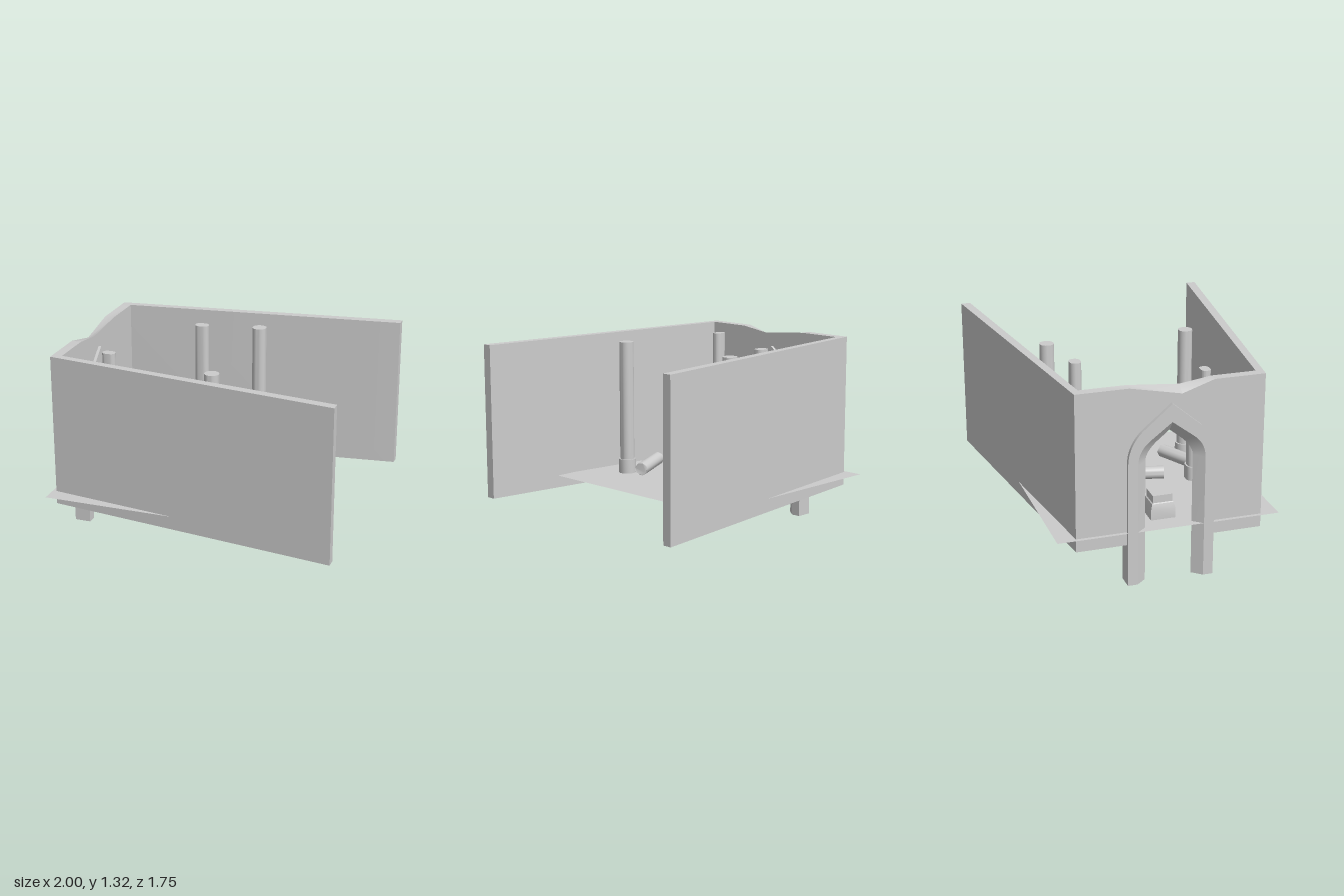
import * as THREE from 'three';
import { toCreasedNormals } from 'three/addons/utils/BufferGeometryUtils.js';

const FLOOR = 0.365;

export function createModel() {
  const model = new THREE.Group();
  model.name = 'ruinedHall';
  const stone = new THREE.MeshStandardMaterial({ color: 0xcccccc, side: THREE.DoubleSide });
  stone.name = 'stone';

  function add(name, geometry, parent = model) {
    const mesh = new THREE.Mesh(toCreasedNormals(geometry, 0.6), stone);
    mesh.name = name;
    parent.add(mesh);
    return mesh;
  }

  // Upright prism from a plan outline of [x, z] points
  function prism(points, y0, y1) {
    const shape = new THREE.Shape(points.map(([x, z]) => new THREE.Vector2(x, -z)));
    return new THREE.ExtrudeGeometry(shape, { depth: y1 - y0, bevelEnabled: false })
      .rotateX(-Math.PI / 2).translate(0, y0, 0);
  }

  // Upright shaft with a rounded oblong section; a jagged one has a broken top
  function shaft(w, d, h, jagged = false) {
    const pts = [];
    const r = Math.min(w, d) * 0.46;
    for (let i = 0; i < 28; i++) {
      const a = (i + 0.5) / 28 * Math.PI * 2;
      const c = Math.cos(a), s = Math.sin(a);
      pts.push([Math.sign(c) * (w / 2 - r) + c * r, Math.sign(s) * (d / 2 - r) + s * r]);
    }
    const g = prism(pts, 0, h);
    if (jagged) {
      const p = g.attributes.position;
      for (let i = 0; i < p.count; i++) {
        if (p.getY(i) < h / 2) continue;
        const a = Math.atan2(p.getZ(i), p.getX(i));
        p.setY(i, h - 0.008 + 0.005 * Math.sin(5 * a) + 0.004 * Math.sin(9 * a + 1));
      }
    }
    return g;
  }

  // Floor slab, a thin sheet
  add('floor', new THREE.PlaneGeometry(1.5, 1.47).rotateX(-Math.PI / 2).translate(-0.25, FLOOR, -0.005));

  // Splayed side walls
  for (const s of [1, -1]) {
    const plan = [[-0.975, 0.615], [1, 0.875], [1, 0.813], [-0.91, 0.573], [-0.975, 0.573]];
    add(s > 0 ? 'frontSideWall' : 'rearSideWall', prism(plan.map(([x, z]) => [x, z * s]), 0.275, 1.32));
  }

  // End wall with a worn top and a doorway
  const end = new THREE.Shape();
  end.moveTo(0.575, 0.275);
  end.lineTo(0.575, 1.32);
  end.lineTo(0.28, 1.32);
  end.lineTo(0.07, 1.29);
  end.lineTo(-0.27, 1.32);
  end.lineTo(-0.575, 1.32);
  end.lineTo(-0.575, 0.275);
  end.lineTo(-0.24, 0.275);
  end.lineTo(-0.24, 0.82);
  end.quadraticCurveTo(-0.24, 0.93, -0.15, 1.02);
  end.lineTo(0, 1.14);
  end.lineTo(0.15, 1.02);
  end.quadraticCurveTo(0.24, 0.93, 0.24, 0.82);
  end.lineTo(0.24, 0.275);
  const endWall = new THREE.ExtrudeGeometry(end, { depth: 0.065, bevelEnabled: false })
    .rotateY(-Math.PI / 2).translate(-0.91, 0, 0);
  const wp = endWall.attributes.position;
  for (let i = 0; i < wp.count; i++) {
    if (wp.getX(i) < -0.95 && Math.abs(wp.getY(i) - 1.29) < 0.01) wp.setY(i, 1.25);
  }
  add('endWall', endWall);

  // Pointed arch: a five-sided section swept from foot to foot
  function archLine(w, shoulderZ, shoulderY, controlY, apex) {
    const curve = new THREE.QuadraticBezierCurve(
      new THREE.Vector2(w, 0.82), new THREE.Vector2(w, controlY), new THREE.Vector2(shoulderZ, shoulderY));
    const half = [new THREE.Vector2(w, 0), ...curve.getPoints(8)];
    return [...half, new THREE.Vector2(0, apex), ...half.map(p => new THREE.Vector2(-p.x, p.y)).reverse()];
  }
  const outer = archLine(0.285, 0.19, 1.04, 0.95, 1.2);
  const middle = archLine(0.22, 0.145, 0.97, 0.91, 1.08);
  const inner = archLine(0.155, 0.08, 0.945, 0.88, 1.01);
  const verts = [], faces = [];
  outer.forEach((o, i) => {
    const m = middle[i], n = inner[i];
    verts.push(-1, o.y, o.x, -0.89, o.y, o.x, -0.89, m.y, m.x, -0.945, n.y, n.x, -1, m.y, m.x);
  });
  const last = (outer.length - 1) * 5;
  for (let b = 0; b < last; b += 5) {
    for (let k = 0; k < 5; k++) {
      const a = b + k, c = b + (k + 1) % 5;
      faces.push(a, c, c + 5, a, c + 5, a + 5);
    }
  }
  for (let k = 1; k < 4; k++) faces.push(0, k + 1, k, last, last + k, last + k + 1);
  const arch = new THREE.BufferGeometry();
  arch.setAttribute('position', new THREE.Float32BufferAttribute(verts, 3));
  arch.setIndex(faces);
  add('doorArch', arch);

  // Standing columns: x, z, base width, base depth, top height
  const columns = [
    [0.083, 0.47, 0.115, 0.115, 1.285], [-0.31, 0.385, 0.11, 0.083, 0.655], [-0.69, 0.322, 0.11, 0.083, 1.285],
    [0.083, -0.5, 0.115, 0.115, 1.285], [-0.31, -0.42, 0.115, 0.095, 1.285], [-0.69, -0.35, 0.11, 0.083, 0.655],
  ];
  for (const [x, z, w, d, top] of columns) {
    const column = new THREE.Group();
    column.name = 'column';
    column.position.set(x, FLOOR, z);
    add('columnBase', shaft(w, d, 0.098), column);
    add('columnShaft', shaft(w - 0.02, d - 0.02, top - FLOOR, top < 1), column);
    model.add(column);
  }

  // Fallen columns, from the whole end to the broken end
  for (const [x0, z0, x1, z1] of [
    [-0.54, -0.405, -0.26, -0.17], [-0.265, 0.205, -0.205, -0.018], [-0.23, 0.485, 0.1, 0.315],
  ]) {
    const dir = new THREE.Vector3(x1 - x0, 0, z1 - z0);
    const fallen = add('fallenColumn', shaft(0.086, 0.086, dir.length(), true));
    fallen.position.set(x0, FLOOR + 0.045, z0);
    fallen.quaternion.setFromUnitVectors(new THREE.Vector3(0, 1, 0), dir.normalize());
  }

  // Square pedestal with a sloping shoulder
  const pedestal = new THREE.LatheGeometry(
    [[0, 0], [0.082, 0], [0.082, 0.068], [0.072, 0.105], [0.065, 0.11], [0.065, 0.16], [0, 0.16]]
      .map(([r, y]) => new THREE.Vector2(r * Math.SQRT2, y)), 4);
  add('pedestal', pedestal.rotateY(Math.PI / 4).translate(-0.78, FLOOR, -0.005));

  return model;
}
